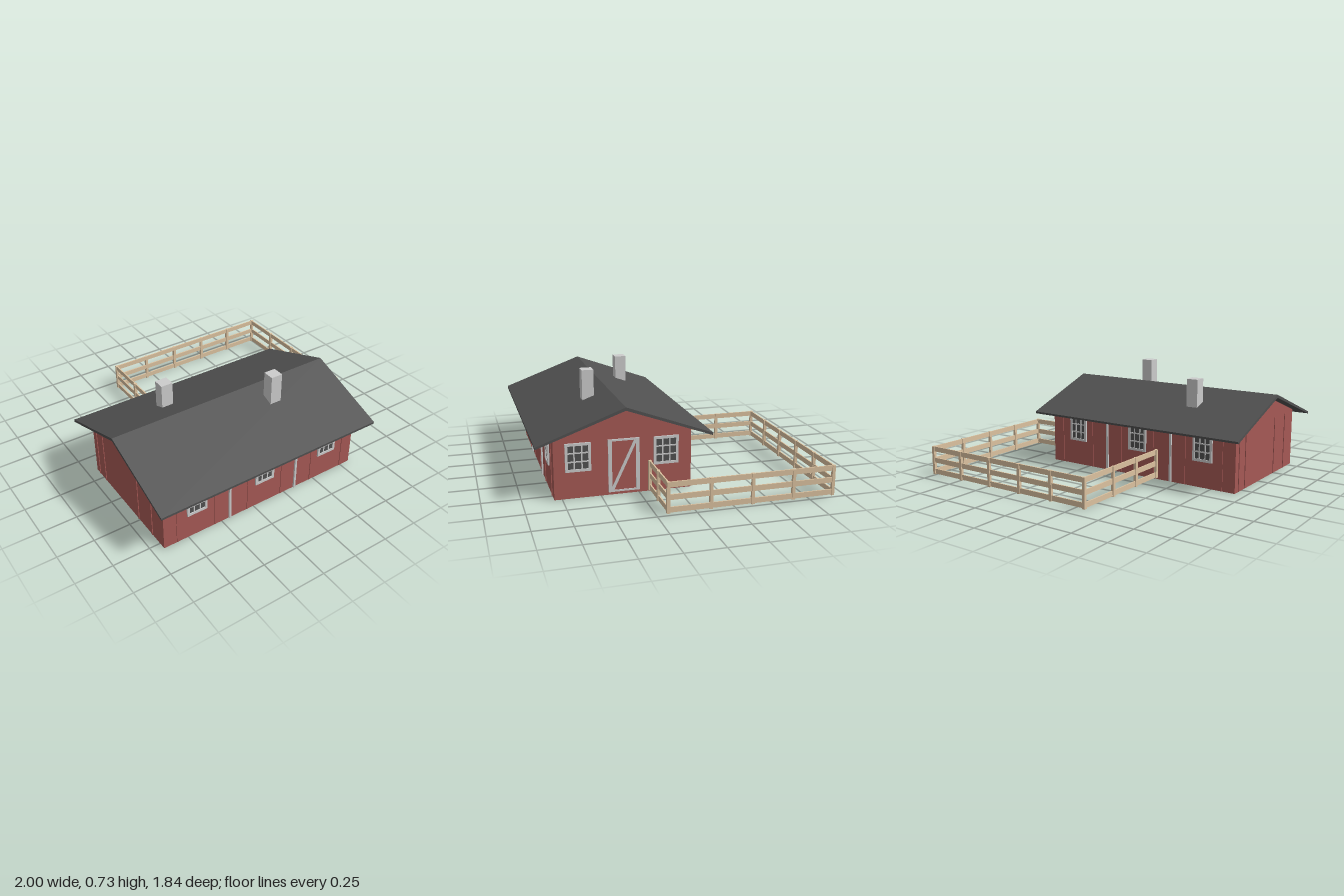
import * as THREE from 'three';

const mat = (color, side = THREE.FrontSide) =>
  new THREE.MeshStandardMaterial({ color, side, flatShading: true });
const RED = mat(0xa65955), ROOF = mat(0x505050), GREY = mat(0xcccccc);
const PANE = mat(0x505050), WOOD = mat(0xdcc2a0);

function box(parent, name, material, w, h, d, x, y, z) {
  const m = new THREE.Mesh(new THREE.BoxGeometry(w, h, d), material);
  m.name = name;
  m.position.set(x, y, z);
  parent.add(m);
  return m;
}

// Extrudes a (z, y) outline from x0 to x1
function prism(parent, name, material, outline, x0, x1) {
  const shape = new THREE.Shape(outline.map(([z, y]) => new THREE.Vector2(-z, y)));
  const geo = new THREE.ExtrudeGeometry(shape, { depth: x1 - x0, bevelEnabled: false });
  geo.rotateY(Math.PI / 2).translate(x0, 0, 0);
  const m = new THREE.Mesh(geo, material);
  m.name = name;
  parent.add(m);
}

// Wall group: local x runs along the wall, local +z faces outward
function wall(parent, name, x, z, turn) {
  const g = new THREE.Group();
  g.name = name;
  g.position.set(x, 0, z);
  g.rotation.y = turn;
  parent.add(g);
  return g;
}

// Window with three by three panes
function addWindow(parent, u, w) {
  const g = new THREE.Group();
  g.name = 'window';
  g.position.set(u, 0.272, 0);
  parent.add(g);
  const h = 0.187, t = 0.017;
  box(g, 'windowPanes', PANE, w - t, h - t, 0.006, 0, 0, 0.002);
  for (const s of [-1, 1]) {
    box(g, 'windowFrameSide', GREY, t, h, 0.014, s * (w - t) / 2, 0, 0.004);
    box(g, 'windowFrameRail', GREY, w, t, 0.014, 0, s * (h - t) / 2, 0.004);
    box(g, 'windowMullion', GREY, 0.009, h - t, 0.01, s * (w - t) / 6, 0, 0.003);
    box(g, 'windowBar', GREY, w - t, 0.009, 0.01, 0, s * (h - t) / 6, 0.003);
  }
}

// Braced door
function addDoor(parent, u) {
  const g = new THREE.Group();
  g.name = 'door';
  g.position.set(u, 0.195, 0);
  parent.add(g);
  const w = 0.205, h = 0.35, t = 0.024;
  box(g, 'doorPanel', RED, w - t, h - t, 0.006, 0, 0, 0.002);
  for (const s of [-1, 1]) {
    box(g, 'doorStile', GREY, t, h, 0.014, s * (w - t) / 2, 0, 0.004);
    box(g, 'doorRail', GREY, w - t, 0.012, 0.012, 0, s * (h - 0.012) / 2, 0.004);
  }
  const bw = w - 2 * t, bh = h - 0.02;
  const brace = box(g, 'doorBrace', GREY, 0.02, Math.hypot(bw, bh) - 0.01, 0.01, 0, 0, 0.004);
  brace.rotation.z = -Math.atan2(bw, bh);
}

// Straight fence run between two ground points, with posts at the given fractions
function fenceRun(parent, [x0, z0], [x1, z1], posts) {
  const g = new THREE.Group();
  g.name = 'fenceRun';
  g.position.set(x0, 0, z0);
  g.rotation.y = -Math.atan2(z1 - z0, x1 - x0);
  parent.add(g);
  const len = Math.hypot(x1 - x0, z1 - z0);
  for (const y of [0.033, 0.113, 0.193]) box(g, 'fenceRail', WOOD, len, 0.035, 0.009, len / 2, y, 0);
  for (const f of posts) box(g, 'fencePost', WOOD, 0.02, 0.2, 0.02, f * len, 0.111, 0);
}

export function createModel() {
  const house = new THREE.Group();
  house.name = 'house';

  // Gabled body
  prism(house, 'walls', RED,
    [[0.8, 0], [-0.1, 0], [-0.1, 0.408], [0.35, 0.572], [0.8, 0.408]], -0.925, 0.575);

  // Two-sided roof slab with wide eaves
  prism(house, 'roof', ROOF,
    [[0.92, 0.366], [0.35, 0.57], [-0.22, 0.366], [-0.226, 0.381], [0.35, 0.591], [0.926, 0.381]].map(([z, y]) => [Math.min(z, 0.92), y]), -1, 0.65);

  // Chimneys
  box(house, 'chimney', GREY, 0.083, 0.24, 0.08, -0.493, 0.565, 0.12);
  box(house, 'chimney', GREY, 0.083, 0.26, 0.08, 0.115, 0.6, 0.49);

  // Long walls: windows, trim posts and thin battens
  const front = wall(house, 'frontWall', 0, 0.8, 0);
  const back = wall(house, 'backWall', 0, -0.1, Math.PI);
  for (const [g, s] of [[front, 1], [back, -1]]) {
    for (const x of [-0.685, -0.17, 0.345]) addWindow(g, s * x, 0.145);
    for (const x of [-0.44, 0.085]) box(g, 'trimPost', GREY, 0.015, 0.4, 0.014, s * x, 0.203, 0.004);
    for (const x of [-0.83, -0.55, -0.3, -0.03, 0.22, 0.49])
      box(g, 'batten', RED, 0.008, 0.4, 0.006, s * x, 0.203, 0.002);
  }

  // Gable wall with door and windows
  const gable = wall(house, 'doorWall', 0.575, 0, Math.PI / 2);
  addDoor(gable, -0.35);
  for (const z of [0.645, 0.07]) addWindow(gable, -z, 0.165);

  // Plain gable wall
  const plain = wall(house, 'plainWall', -0.925, 0, -Math.PI / 2);
  for (const z of [-0.05, 0.04, 0.49, 0.66])
    box(plain, 'batten', RED, 0.008, 0.4, 0.006, z, 0.203, 0.002);

  // Paddock fence
  const fence = new THREE.Group();
  fence.name = 'fence';
  house.add(fence);
  fenceRun(fence, [-0.33, -0.1], [-0.33, -0.91], [0.015, 0.32, 0.635, 1]);
  fenceRun(fence, [-0.33, -0.91], [0.988, -0.91], [0.2, 0.4, 0.6, 0.8, 1]);
  fenceRun(fence, [0.988, -0.91], [0.988, 0.18], [0.25, 0.5, 0.75, 1]);
  fenceRun(fence, [0.988, 0.18], [0.575, 0.18], [0.5, 0.97]);
  return house;
}
